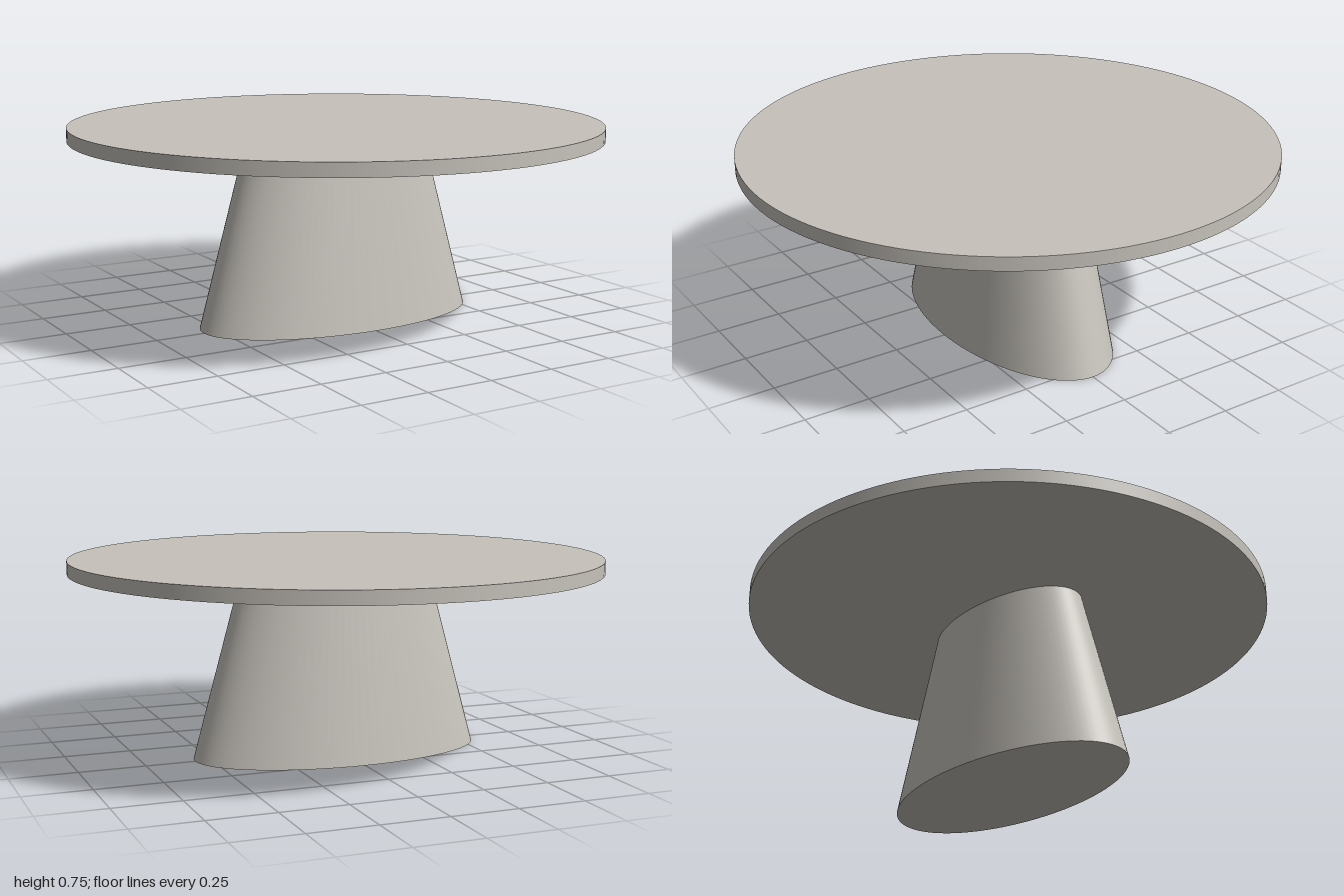
import * as THREE from 'three';

const TOP_HEIGHT = 0.745;
const TOP_THICKNESS = 0.05;
const BASE_HEIGHT = TOP_HEIGHT - TOP_THICKNESS;

export function createModel() {
  const table = new THREE.Group();
  table.name = 'pedestalTable';

  const stone = new THREE.MeshStandardMaterial({ color: 0xc6c2bb });
  stone.name = 'warm grey';

  // Thin round top
  const topGeometry = new THREE.CylinderGeometry(1, 1, TOP_THICKNESS, 128);
  topGeometry.translate(0, TOP_HEIGHT - TOP_THICKNESS / 2, 0);
  const tabletop = new THREE.Mesh(topGeometry, stone);
  tabletop.name = 'tabletop';

  // Tapered base with an elliptical footprint, wide along x
  const baseGeometry = new THREE.CylinderGeometry(0.37, 0.563, BASE_HEIGHT, 96);
  baseGeometry.scale(1, 1, 0.518);
  baseGeometry.translate(0, BASE_HEIGHT / 2, 0);
  const base = new THREE.Mesh(baseGeometry, stone);
  base.name = 'pedestalBase';

  table.add(tabletop, base);
  return table;
}
